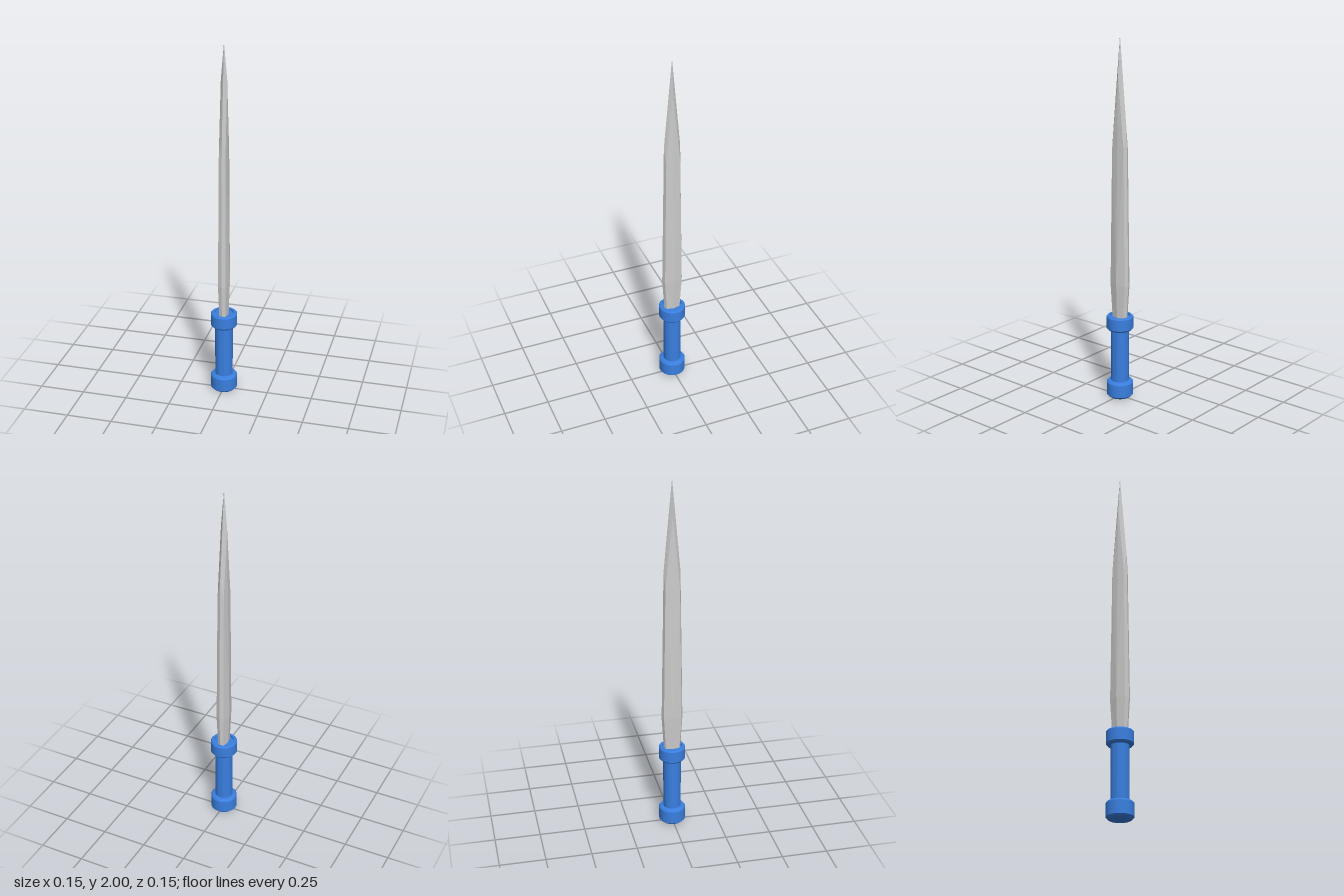
import * as THREE from 'three';
import { toCreasedNormals } from 'three/addons/utils/BufferGeometryUtils.js';

const blue = new THREE.MeshStandardMaterial({ color: 0x3a7fe0 });
const steel = new THREE.MeshStandardMaterial({ color: 0xcccccc, flatShading: true });

// Turned part from [radius, height] points, listed bottom to top
function turned(name, points) {
  const lathe = new THREE.LatheGeometry(points.map(([r, y]) => new THREE.Vector2(r, y)), 40);
  const mesh = new THREE.Mesh(toCreasedNormals(lathe, 0.5), blue);
  mesh.name = name;
  return mesh;
}

// Eight-sided blade: each section gives [x, y, z] of the cutting edge, the bevel and the flat ridge
function bladeGeometry() {
  const sections = [
    { edge: [0, 0.45, 0.045], bevel: [0.017, 0.45, 0.037], ridge: [0.025, 0.45, 0] },
    { edge: [0, 0.65, 0.058], bevel: [0.021, 0.65, 0.049], ridge: [0.033, 0.66, 0] },
    { edge: [0, 1.5, 0.045], bevel: [0.018, 1.4, 0.039], ridge: [0.017, 1.8, 0] },
  ];
  const positions = [];
  const flip = ([x, y, z], sx, sz) => [x * sx, y, z * sz];
  for (const { edge, bevel, ridge } of sections) {
    positions.push(
      ...edge, ...bevel, ...ridge, ...flip(bevel, 1, -1),
      ...flip(edge, 1, -1), ...flip(bevel, -1, -1), ...flip(ridge, -1, 1), ...flip(bevel, -1, 1));
  }
  const tip = positions.length / 3;
  positions.push(0, 2, 0);

  const index = [];
  for (let i = 0; i < 8; i++) {
    const j = (i + 1) % 8;
    for (let s = 0; s < 2; s++) {
      const a = s * 8 + i, b = s * 8 + j;
      // Split quads symmetrically on both sides of each bevel
      if (i % 2) index.push(a, b, a + 8, b, b + 8, a + 8);
      else index.push(a, b, b + 8, a, b + 8, a + 8);
    }
    index.push(16 + i, 16 + j, tip);
    if (i > 0 && i < 7) index.push(0, i + 1, i);
  }
  const geometry = new THREE.BufferGeometry();
  geometry.setAttribute('position', new THREE.Float32BufferAttribute(positions, 3));
  geometry.setIndex(index);
  const flat = geometry.toNonIndexed();
  flat.computeVertexNormals();
  return flat;
}

export function createModel() {
  const model = new THREE.Group();
  model.name = 'dagger';

  const blade = new THREE.Mesh(bladeGeometry(), steel);
  blade.name = 'blade';
  model.add(blade);

  // Plain round grip
  model.add(turned('grip', [[0, 0.06], [0.049, 0.06], [0.049, 0.43], [0, 0.43]]));

  // Collar with a shallow recess around the blade
  model.add(turned('guard', [
    [0, 0.395], [0.064, 0.395], [0.073, 0.405], [0.073, 0.468], [0.067, 0.475],
    [0.054, 0.475], [0.053, 0.465], [0, 0.465],
  ]));

  // End cap with a bevelled foot
  model.add(turned('pommel', [
    [0, 0], [0.061, 0.003], [0.073, 0.015], [0.073, 0.086], [0.066, 0.095],
    [0.054, 0.098], [0, 0.098],
  ]));

  return model;
}
